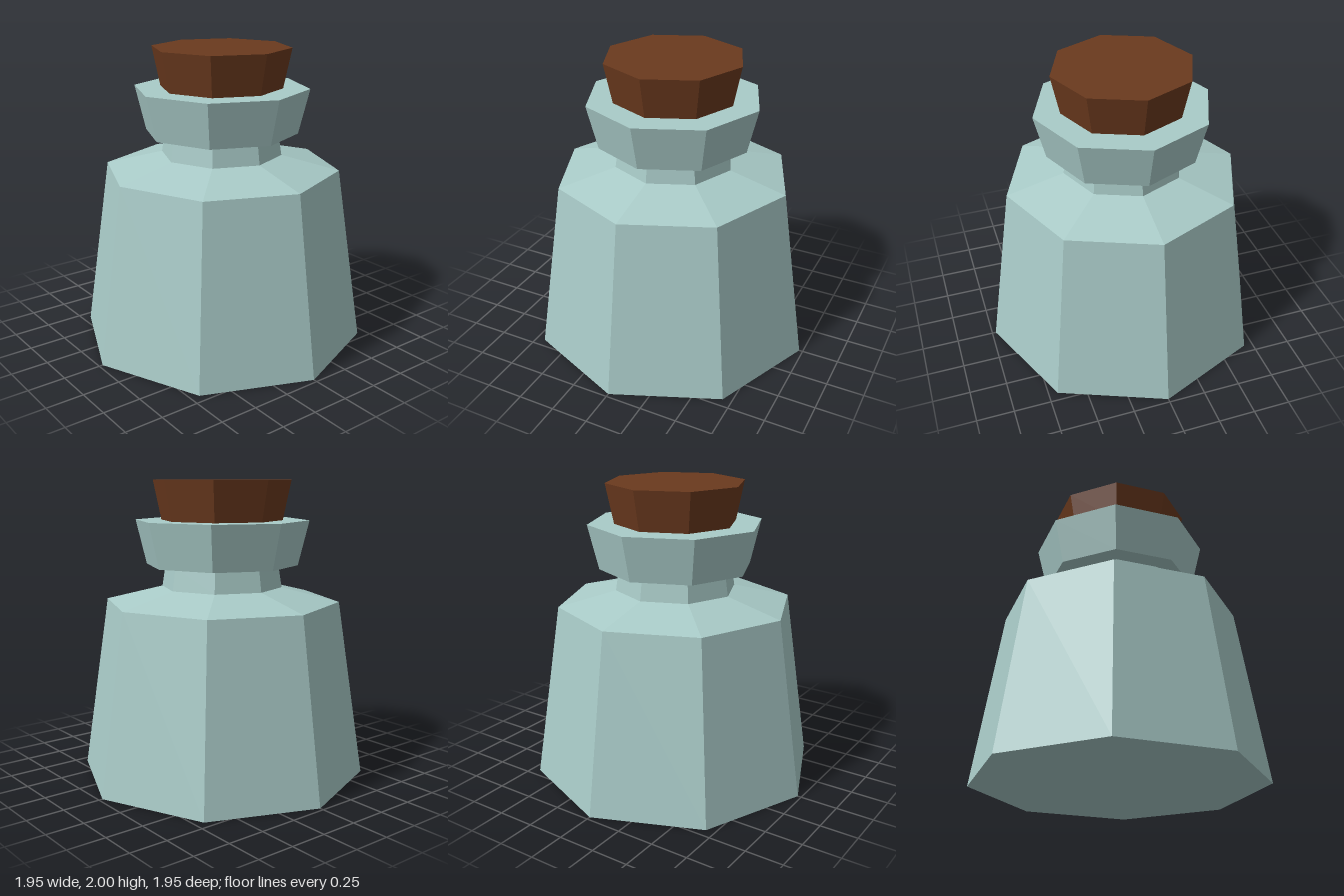
import * as THREE from 'three';

const SIDES = 8;

// Faceted solid of revolution; profile runs bottom to top as [radius, y]
function turned(name, profile, material) {
  const points = profile.map(([r, y]) => new THREE.Vector2(r, y));
  const mesh = new THREE.Mesh(new THREE.LatheGeometry(points, SIDES), material);
  mesh.name = name;
  return mesh;
}

export function createModel() {
  const glass = new THREE.MeshStandardMaterial({ color: 0xa9cbc8, flatShading: true });
  const wood = new THREE.MeshStandardMaterial({ color: 0x6b3a1e, flatShading: true });

  const bottle = new THREE.Group();
  bottle.name = 'corkedBottle';

  // Tapered body, shallow shoulder, short neck and flared lip in one profile
  bottle.add(turned('bottleGlass', [
    [0, 0], [0.975, 0],
    [0.795, 1.19],
    [0.408, 1.285],
    [0.385, 1.435],
    [0.515, 1.435],
    [0.588, 1.735],
    [0, 1.735],
  ], glass));

  // Cork widening towards the top
  bottle.add(turned('cork', [
    [0, 1.735], [0.41, 1.735], [0.465, 2], [0, 2],
  ], wood));

  return bottle;
}
